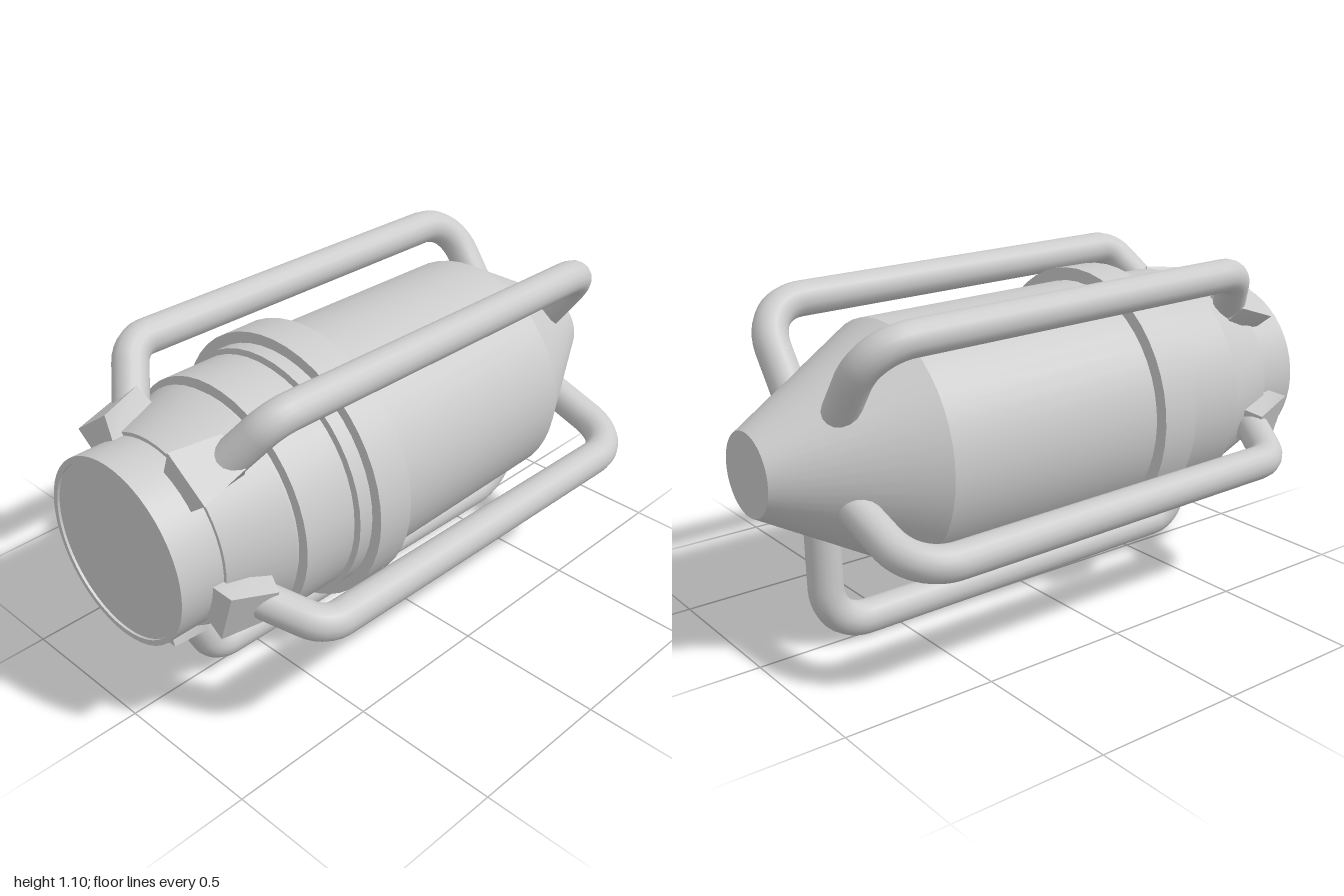
import * as THREE from 'three';
import { mergeGeometries } from 'three/addons/utils/BufferGeometryUtils.js';

const grey = new THREE.MeshStandardMaterial({ color: 0xcccccc });
const AXIS_Y = 0.622;

// Turned part about z: [radius, z] points from back to front, sharp at each point
function turned(name, profile) {
  const bands = [];
  for (let i = 0; i < profile.length - 1; i++) {
    const pts = [profile[i], profile[i + 1]].map(([r, z]) => new THREE.Vector2(r, z));
    bands.push(new THREE.LatheGeometry(pts, 48));
  }
  const mesh = new THREE.Mesh(mergeGeometries(bands).rotateX(Math.PI / 2), grey);
  mesh.name = name;
  return mesh;
}

// Tube in the y-z plane (y = radial) with rounded corners
function barGeometry() {
  const v = (r, z) => new THREE.Vector3(0, r, z);
  const corners = [v(0.3, 0.785), v(0.539, 0.665), v(0.539, -0.768), v(0.14, -0.768)];
  const trims = [0, 0.06, 0.15];
  const path = new THREE.CurvePath();
  let from = corners[0];
  for (let i = 1; i < 3; i++) {
    const c = corners[i];
    const toward = (p) => c.clone().add(p.clone().sub(c).setLength(trims[i]));
    const a = toward(corners[i - 1]), b = toward(corners[i + 1]);
    const k = (p) => p.clone().lerp(c, 0.6);
    path.add(new THREE.LineCurve3(from, a));
    path.add(new THREE.CubicBezierCurve3(a, k(a), k(b), b));
    from = b;
  }
  path.add(new THREE.LineCurve3(from, corners[3]));
  return new THREE.TubeGeometry(path, 110, 0.056, 16);
}

// Wedge clamp: flares outward at the front, narrows toward the back
function clampGeometry() {
  const geo = new THREE.BoxGeometry(1, 1, 1);
  const p = geo.attributes.position;
  for (let i = 0; i < p.count; i++) {
    const outer = p.getY(i) > 0, front = p.getZ(i) > 0, side = Math.sign(p.getX(i));
    const half = front ? (outer ? 0.09 : 0.066) : (outer ? 0.06 : 0.055);
    const r = outer ? (front ? 0.365 : 0.405) : 0.285;
    p.setXYZ(i, side * half, r, front ? 0.89 : outer ? 0.74 : 0.69);
  }
  geo.computeVertexNormals();
  return geo;
}

export function createModel() {
  const model = new THREE.Group();
  model.name = 'cagedCanister';

  const body = new THREE.Group();
  body.name = 'body';
  body.position.y = AXIS_Y;
  body.add(
    turned('tank', [[0, -1], [0.131, -1], [0.391, -0.54], [0.403, 0.24]]),
    turned('flange', [[0.38, 0.24], [0.446, 0.24], [0.446, 0.37], [0.38, 0.37]]),
    turned('stepRing', [[0.38, 0.37], [0.41, 0.37], [0.41, 0.42], [0.385, 0.42], [0.385, 0.43]]),
    turned('collar', [[0.385, 0.43], [0.395, 0.43], [0.395, 0.62], [0.36, 0.62], [0.36, 0.637]]),
    turned('taperedNeck', [[0.36, 0.637], [0.374, 0.637], [0.31, 0.85], [0.29, 0.85]]),
    turned('frontCap', [[0.298, 0.84], [0.298, 1], [0.28, 1], [0.28, 0.992], [0, 0.992]]),
  );
  model.add(body);

  // Five bars, tilted very slightly as one cage, each held by a clamp
  const cage = new THREE.Group();
  cage.name = 'cage';
  cage.position.y = 0.605;
  cage.rotation.x = -0.0145;
  model.add(cage);
  const barGeo = barGeometry(), clampGeo = clampGeometry();
  for (let i = 0; i < 5; i++) {
    const angle = Math.PI + (i * Math.PI * 2) / 5;
    const bar = new THREE.Mesh(barGeo, grey);
    bar.name = 'cageBar' + (i + 1);
    bar.rotation.z = angle;
    cage.add(bar);
    const clamp = new THREE.Mesh(clampGeo, grey);
    clamp.name = 'clamp' + (i + 1);
    clamp.rotation.z = angle;
    body.add(clamp);
  }
  return model;
}
